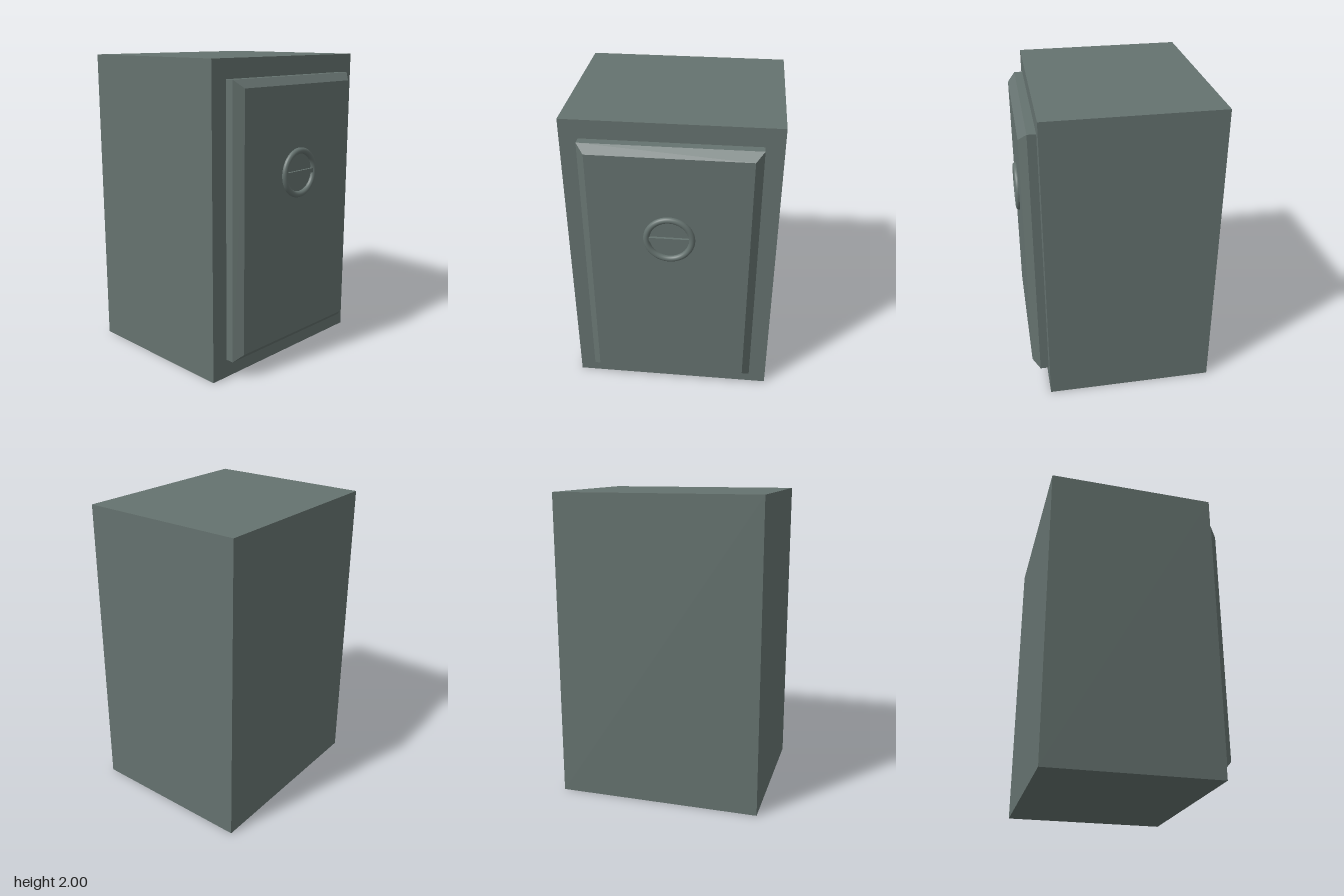
import * as THREE from 'three';

export function createModel() {
  const model = new THREE.Group();
  model.name = 'safe';
  const steel = new THREE.MeshStandardMaterial({ color: 0x65726f });
  steel.name = 'grey green steel';

  const add = (name, geometry, x, y, z) => {
    const mesh = new THREE.Mesh(geometry, steel);
    mesh.name = name;
    mesh.position.set(x, y, z);
    model.add(mesh);
    return mesh;
  };

  // Cabinet
  add('cabinet', new THREE.BoxGeometry(1.33, 2, 1.11), 0, 1, -0.065);

  // Door slab with a chamfered front; its rear chamfer is sunk in the cabinet
  const w = 0.5, h = 0.83;
  const outline = new THREE.Shape([
    new THREE.Vector2(-w, -h), new THREE.Vector2(w, -h),
    new THREE.Vector2(w, h), new THREE.Vector2(-w, h),
  ]);
  add('door', new THREE.ExtrudeGeometry(outline, {
    depth: 0.055, bevelEnabled: true, bevelSegments: 1, bevelSize: 0.05, bevelThickness: 0.05,
  }), 0, 1, 0.49);

  // Round handle: ring and crossbar
  add('handleRing', new THREE.TorusGeometry(0.142, 0.02, 16, 64), 0, 1.27, 0.599);
  add('handleBar', new THREE.BoxGeometry(0.25, 0.028, 0.03), 0, 1.27, 0.597);

  return model;
}
